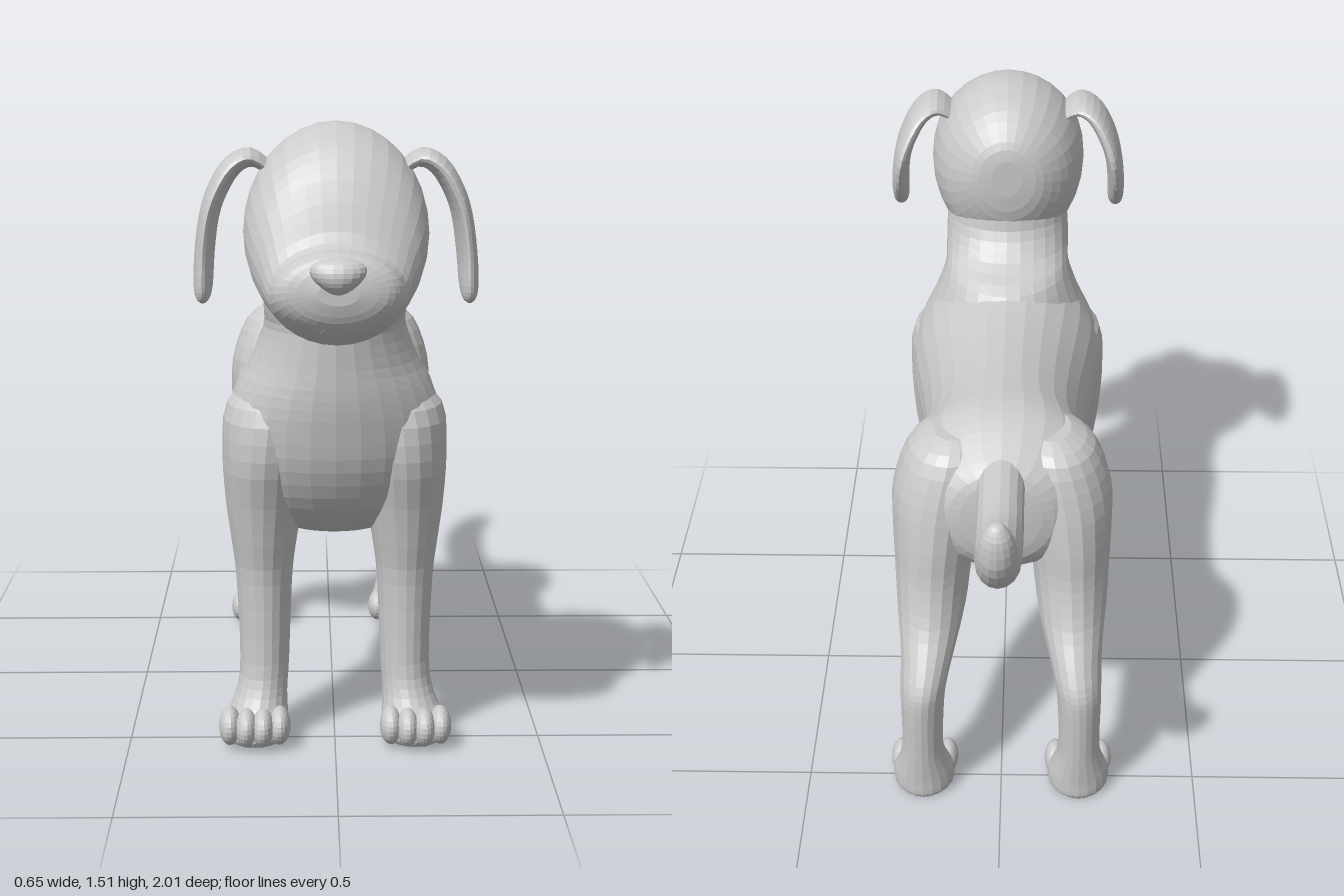
import * as THREE from 'three';

const material = new THREE.MeshStandardMaterial({ color: 0xcccccc, flatShading: true });
const QUARTER = Math.PI / 2;

// Section: [x, y, z, radiusAcross, radiusAlongU, tilt, roll]
// standing: horizontal section, listed from the top down
const standing = ([y, x, rx, front, back]) => [x, y, (front + back) / 2, rx, (front - back) / 2, QUARTER, 0];
// lying: upright section, listed from the back to the front
const lying = ([z, top, bottom, rx]) => [0, (top + bottom) / 2, z, rx, (top - bottom) / 2, 0, 0];
// mirrored section for the other side
const mirror = (s, side) => [s[0] * side, ...s.slice(1, 6), s[6] * side];

function catmull(a, b, c, d, t) {
  return 0.5 * (2 * b + (c - a) * t + (2 * a - 5 * b + 4 * c - d) * t * t + (3 * b - a - 3 * c + d) * t * t * t);
}

// Closed skin over elliptical sections, smoothly interpolated
function loft(sections, sides = 28, steps = 3) {
  const last = sections.length - 1;
  const at = (i) => sections[Math.max(0, Math.min(last, i))];
  const rings = [];
  for (let k = 0; k <= last * steps; k++) {
    const i = Math.min(Math.floor(k / steps), last - 1);
    const t = k / steps - i;
    rings.push(at(i).map((_, n) => catmull(at(i - 1)[n], at(i)[n], at(i + 1)[n], at(i + 2)[n], t)));
  }
  const positions = [], index = [];
  for (const [x, y, z, rx, ru, tilt, roll] of rings) {
    for (let j = 0; j < sides; j++) {
      const a = (j / sides) * Math.PI * 2;
      const p = rx * Math.cos(a), q = ru * Math.sin(a);
      positions.push(
        x + p * Math.cos(roll),
        y + p * Math.sin(roll) + q * Math.cos(tilt),
        z + q * Math.sin(tilt));
    }
  }
  for (let i = 0; i < rings.length - 1; i++) {
    for (let j = 0; j < sides; j++) {
      const a = i * sides + j, b = i * sides + (j + 1) % sides;
      index.push(a, b, a + sides, b, b + sides, a + sides);
    }
  }
  // end caps
  const first = positions.length / 3, end = (rings.length - 1) * sides;
  positions.push(...rings[0].slice(0, 3), ...rings[rings.length - 1].slice(0, 3));
  for (let j = 0; j < sides; j++) {
    const n = (j + 1) % sides;
    index.push(first, n, j, first + 1, end + j, end + n);
  }
  const geometry = new THREE.BufferGeometry();
  geometry.setAttribute('position', new THREE.Float32BufferAttribute(positions, 3));
  geometry.setIndex(index);
  geometry.computeVertexNormals();
  return geometry;
}

function ellipsoid(rx, ry, rz) {
  return new THREE.SphereGeometry(1, 18, 12).scale(rx, ry, rz);
}

export function createModel() {
  const model = new THREE.Group();
  const add = (name, geometry, x = 0, y = 0, z = 0) => {
    const mesh = new THREE.Mesh(geometry, material);
    mesh.name = name;
    mesh.position.set(x, y, z);
    model.add(mesh);
    return mesh;
  };

  // Torso: z, top, bottom, half width
  add('torso', loft([
    [-0.505, 0.88, 0.76, 0.05], [-0.49, 0.93, 0.68, 0.13], [-0.44, 0.965, 0.63, 0.2],
    [-0.36, 1.005, 0.61, 0.235], [-0.28, 1.02, 0.61, 0.238], [-0.16, 1.015, 0.615, 0.205],
    [0, 1.01, 0.555, 0.212], [0.15, 1.015, 0.52, 0.232], [0.3, 1.03, 0.508, 0.255],
    [0.42, 1.04, 0.515, 0.255], [0.52, 1.0, 0.56, 0.22], [0.6, 0.92, 0.64, 0.12],
  ].map(lying)));

  // Neck and chest: y, x, half width, front z, back z
  add('neckAndChest', loft([
    [1.25, 0, 0.15, 0.66, 0.4], [1.15, 0, 0.165, 0.68, 0.395], [1.08, 0, 0.168, 0.69, 0.34],
    [1.03, 0, 0.17, 0.69, 0.24], [0.95, 0, 0.2, 0.685, 0.2], [0.88, 0, 0.235, 0.68, 0.2],
    [0.8, 0, 0.262, 0.665, 0.2], [0.7, 0, 0.265, 0.637, 0.2], [0.6, 0, 0.235, 0.58, 0.22],
    [0.53, 0, 0.15, 0.5, 0.25], [0.51, 0, 0.05, 0.42, 0.32],
  ].map(standing)));

  // Head with muzzle
  add('head', loft([
    [0.385, 1.36, 1.26, 0.04], [0.4, 1.41, 1.18, 0.1], [0.46, 1.475, 1.08, 0.165],
    [0.55, 1.51, 1.04, 0.2], [0.65, 1.512, 1.035, 0.21], [0.74, 1.48, 1.04, 0.205],
    [0.8, 1.42, 1.035, 0.19], [0.835, 1.35, 1.035, 0.17], [0.87, 1.265, 1.045, 0.152],
    [0.92, 1.25, 1.07, 0.14], [0.95, 1.235, 1.1, 0.11], [0.965, 1.19, 1.14, 0.045],
  ].map(lying), 32));

  // Nose: wide at the top, narrow below
  const nose = ellipsoid(0.058, 0.04, 0.042);
  const p = nose.attributes.position;
  for (let i = 0; i < p.count; i++) p.setX(i, p.getX(i) * (1 + p.getY(i) * 9));
  add('nose', nose, 0, 1.203, 0.958);

  // Tail, curving upwards: x, y, z, half width, half height, tilt, roll
  add('tail', loft([
    [0, 0.9, -0.44, 0.058, 0.055, -3.14, 0], [0, 0.897, -0.6, 0.056, 0.052, -3.14, 0],
    [0, 0.902, -0.72, 0.056, 0.055, -3.0, 0], [0, 0.938, -0.86, 0.053, 0.06, -2.6, 0],
    [0, 1.01, -0.945, 0.047, 0.053, -2.15, 0], [0, 1.075, -0.975, 0.037, 0.034, -1.85, 0],
    [0, 1.11, -0.98, 0.018, 0.016, -1.75, 0], [0, 1.117, -0.98, 0.004, 0.004, -1.7, 0],
  ], 16));

  const frontLeg = [
    [0.92, 0.12, 0.05, 0.52, 0.36], [0.84, 0.15, 0.108, 0.61, 0.29], [0.72, 0.165, 0.106, 0.62, 0.285],
    [0.6, 0.17, 0.095, 0.585, 0.31], [0.5, 0.172, 0.08, 0.56, 0.34], [0.4, 0.172, 0.068, 0.54, 0.36],
    [0.2, 0.172, 0.06, 0.537, 0.386], [0.12, 0.18, 0.063, 0.555, 0.4], [0.06, 0.192, 0.078, 0.595, 0.413],
    [0.025, 0.194, 0.08, 0.6, 0.416], [0.01, 0.194, 0.065, 0.585, 0.43],
  ];
  const hindLeg = [
    [0.97, 0.12, 0.05, -0.25, -0.4], [0.93, 0.13, 0.1, -0.2, -0.46], [0.82, 0.155, 0.116, -0.165, -0.49],
    [0.7, 0.168, 0.107, -0.168, -0.505], [0.6, 0.174, 0.097, -0.21, -0.512], [0.5, 0.178, 0.087, -0.27, -0.54],
    [0.42, 0.185, 0.07, -0.353, -0.59], [0.36, 0.193, 0.06, -0.43, -0.622], [0.3, 0.198, 0.055, -0.475, -0.626],
    [0.16, 0.2, 0.052, -0.49, -0.612], [0.1, 0.2, 0.064, -0.468, -0.605], [0.06, 0.2, 0.077, -0.445, -0.6],
    [0.02, 0.2, 0.077, -0.44, -0.597], [0.006, 0.2, 0.06, -0.45, -0.59],
  ];
  // Ear flap, folding out and hanging down
  const ear = [
    [0.14, 1.4, 0.62, 0.02, 0.06, QUARTER, 1.5], [0.19, 1.434, 0.62, 0.022, 0.08, QUARTER, 1.4],
    [0.235, 1.415, 0.615, 0.024, 0.098, QUARTER, 0.8], [0.27, 1.36, 0.605, 0.024, 0.118, QUARTER, 0.45],
    [0.29, 1.3, 0.6, 0.023, 0.128, QUARTER, 0.25], [0.3, 1.22, 0.62, 0.023, 0.107, QUARTER, 0.1],
    [0.302, 1.15, 0.66, 0.022, 0.068, QUARTER, 0], [0.302, 1.12, 0.683, 0.015, 0.035, QUARTER, 0],
    [0.302, 1.11, 0.69, 0.004, 0.012, QUARTER, 0],
  ];

  for (const [side, label] of [[1, 'left'], [-1, 'right']]) {
    const flip = (s) => mirror(s, side);
    add(label + 'FrontLeg', loft(frontLeg.map(standing).map(flip), 20));
    add(label + 'HindLeg', loft(hindLeg.map(standing).map(flip), 20));
    add(label + 'Ear', loft(ear.map(flip), 20));
    add(label + 'Eye', ellipsoid(0.021, 0.04, 0.02), side * 0.12, 1.29, 0.8);

    // Four toes per paw, the middle pair further forward
    for (let i = 0; i < 4; i++) {
      const offset = (i - 1.5) * 0.04;
      const back = Math.abs(i - 1.5) > 1 ? 0.018 : 0;
      add(label + 'FrontToe', ellipsoid(0.027, 0.046, 0.055), side * (0.195 + offset), 0.058, 0.577 - back);
      add(label + 'HindToe', ellipsoid(0.027, 0.042, 0.05), side * (0.2 + offset), 0.05, -0.457 - back);
    }

    // Lip line running down and back from below the nose
    const lip = new THREE.CatmullRomCurve3([
      new THREE.Vector3(0, 1.115, 0.95),
      new THREE.Vector3(side * 0.03, 1.085, 0.927),
      new THREE.Vector3(side * 0.065, 1.066, 0.88),
    ]);
    add(label + 'Lip', new THREE.TubeGeometry(lip, 10, 0.007, 6));
  }
  return model;
}
